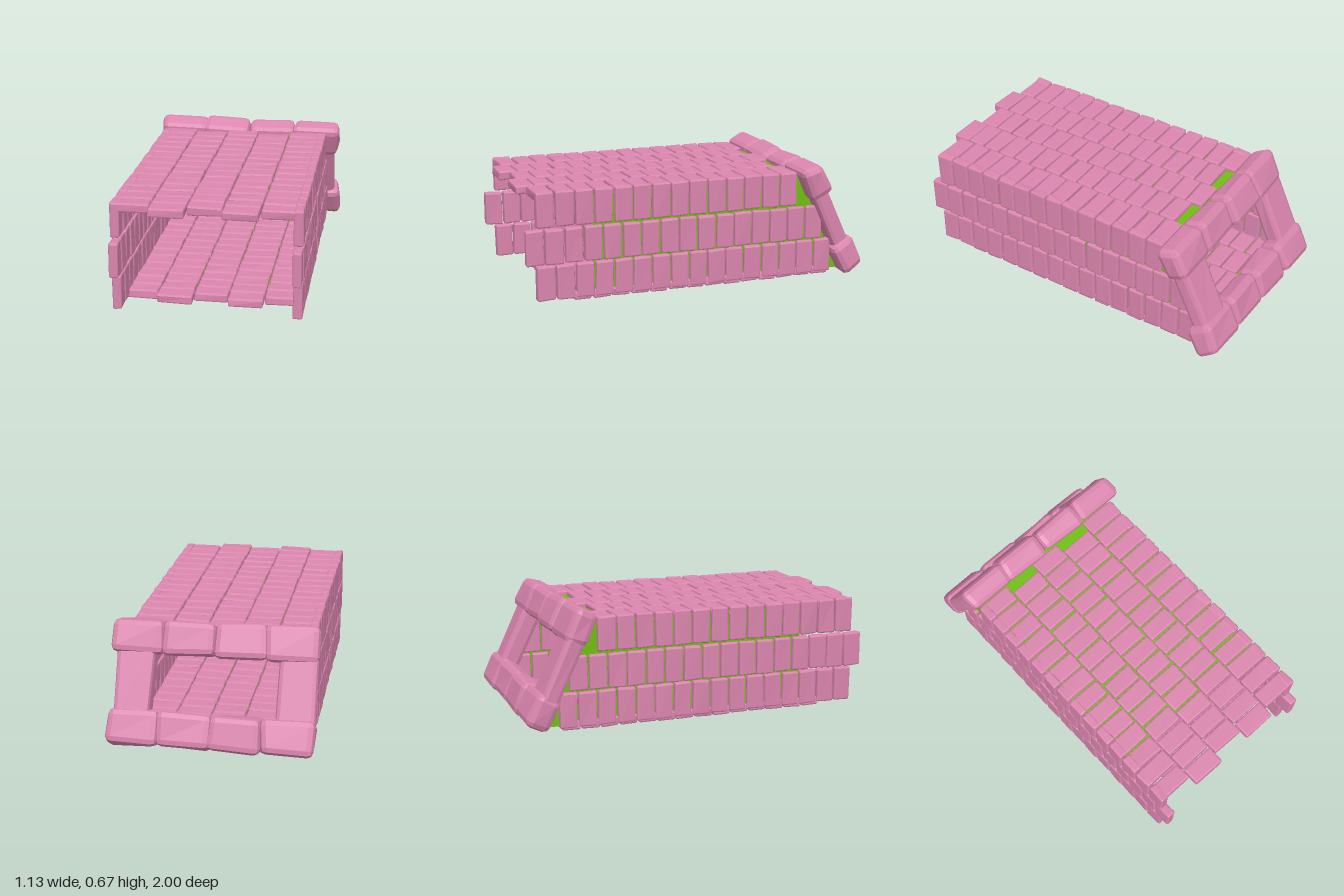
import * as THREE from 'three';
import { mergeGeometries } from 'three/addons/utils/BufferGeometryUtils.js';
import { RoundedBoxGeometry } from 'three/addons/geometries/RoundedBoxGeometry.js';

const PITCH = 0.11, LENGTH = 0.1;
const COLUMNS = [-0.53, -0.325, -0.128, 0.064, 0.262, 0.482];

export function createModel() {
  const model = new THREE.Group();
  const pink = new THREE.MeshStandardMaterial({ color: 0xdb86ae, flatShading: true });
  const green = new THREE.MeshStandardMaterial({ color: 0x6fbf10, side: THREE.DoubleSide });

  let seed = 7;
  const rand = () => {
    seed = (seed * 16807) % 2147483647;
    return (seed / 2147483647) * 2 - 1;
  };

  // Bevelled block whose eight corners are each nudged, for a hand-cut look
  function brick(w, h, d, x, y, z, bevel, rough) {
    const g = new RoundedBoxGeometry(w, h, d, 1, bevel);
    const nudge = Array.from({ length: 8 }, () => [rand() * rough, rand() * rough, rand() * rough]);
    const p = g.attributes.position;
    for (let i = 0; i < p.count; i++) {
      const px = p.getX(i), py = p.getY(i), pz = p.getZ(i);
      const n = nudge[(px > 0 ? 1 : 0) + (py > 0 ? 2 : 0) + (pz > 0 ? 4 : 0)];
      p.setXYZ(i, px + n[0] + x, py + n[1] + y, pz + n[2] + z);
    }
    return g;
  }

  function add(parent, name, bricks) {
    const g = mergeGeometries(bricks);
    g.computeVertexNormals();
    const mesh = new THREE.Mesh(g, pink);
    mesh.name = name;
    parent.add(mesh);
  }

  // Side walls: three staggered courses, each reaching back to the slanted frame
  const courses = [
    { y: 0.117, front: 0.94, count: 16 },
    { y: 0.318, front: 1.0, count: 16 },
    { y: 0.525, front: 0.94, count: 14 },
  ];
  for (const [name, x] of [['rightWall', -0.509], ['leftWall', 0.461]]) {
    const bricks = [];
    for (const c of courses)
      for (let i = 0; i < c.count; i++)
        bricks.push(brick(0.05, 0.194, LENGTH, x, c.y, c.front - LENGTH / 2 - i * PITCH, 0.009, 0.003));
    add(model, name, bricks);
  }

  // Roof and floor: five columns, the second and fourth set half a brick forward
  function slab(name, y, front) {
    const bricks = [];
    for (let c = 0; c < 5; c++) {
      const x0 = COLUMNS[c], x1 = COLUMNS[c + 1];
      const start = front - (c % 2 ? 0 : PITCH / 2);
      for (let i = 0; i < 14; i++)
        bricks.push(brick(x1 - x0 - 0.006, 0.05, LENGTH, (x0 + x1) / 2, y, start - LENGTH / 2 - i * PITCH, 0.009, 0.003));
    }
    add(model, name, bricks);
  }
  slab('roof', 0.594, 0.993);
  slab('floor', 0.03, 0.79);

  // Thin lining inside the brickwork, open at both ends with a slanted back
  const lining = new THREE.BoxGeometry(0.97, 0.56, 1);
  lining.setIndex(Array.from(lining.index.array).slice(0, 24));
  lining.clearGroups();
  const p = lining.attributes.position;
  for (let i = 0; i < p.count; i++) {
    const top = p.getY(i) > 0;
    p.setXYZ(i, p.getX(i) - 0.024, top ? 0.594 : 0.03, p.getZ(i) > 0 ? 0.62 : top ? -0.62 : -0.86);
  }
  lining.computeVertexNormals();
  const liner = new THREE.Mesh(lining, green);
  liner.name = 'lining';
  model.add(liner);

  // Leaning stone frame around the back opening
  const frame = new THREE.Group();
  frame.name = 'backFrame';
  frame.position.set(0, 0.341, -0.793);
  frame.rotation.x = 0.436;
  for (const [name, y] of [['lintel', 0.248], ['sill', -0.248]]) {
    const stones = [];
    for (let i = 0; i < 4; i++)
      stones.push(brick(0.288, 0.19, 0.145, -0.419 + i * 0.278, y, 0, 0.035, 0.009));
    add(frame, name, stones);
  }
  for (const [name, x] of [['rightPost', -0.455], ['leftPost', 0.425]])
    add(frame, name, [brick(0.205, 0.4, 0.11, x, 0, 0, 0.025, 0.008)]);
  model.add(frame);

  return model;
}
